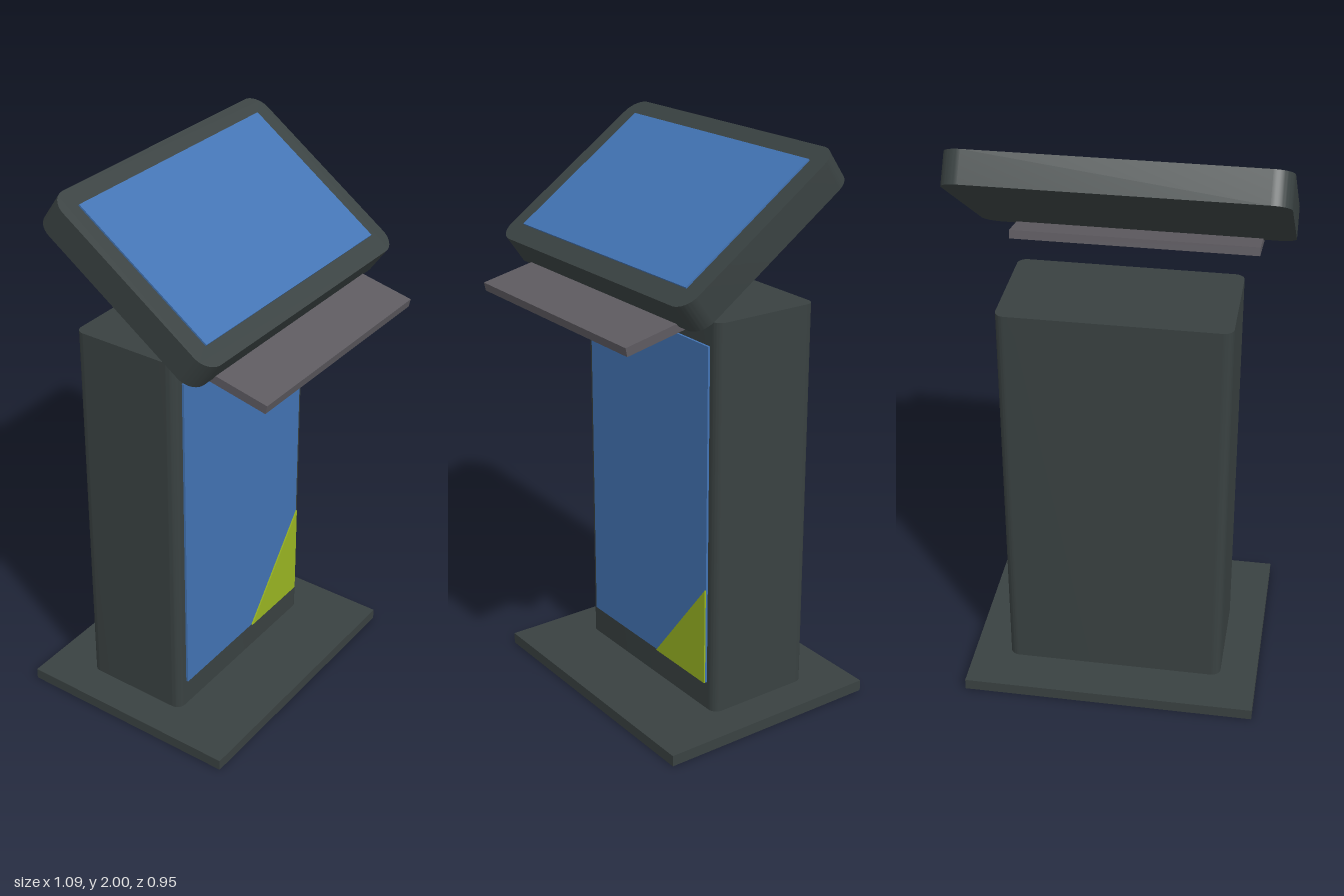
import * as THREE from 'three';
import { toCreasedNormals } from 'three/addons/utils/BufferGeometryUtils.js';

const material = (name, color) => {
  const m = new THREE.MeshStandardMaterial({ color });
  m.name = name;
  return m;
};

// Rounded rectangle in XY, extruded along z and centred on the origin
function roundedSlab(w, h, depth, r) {
  const x = w / 2, y = h / 2, s = new THREE.Shape();
  s.absarc(x - r, y - r, r, 0, Math.PI / 2);
  s.absarc(r - x, y - r, r, Math.PI / 2, Math.PI);
  s.absarc(r - x, r - y, r, Math.PI, Math.PI * 1.5);
  s.absarc(x - r, r - y, r, Math.PI * 1.5, Math.PI * 2);
  const g = new THREE.ExtrudeGeometry(s, { depth, bevelEnabled: false, curveSegments: 8 });
  g.translate(0, 0, -depth / 2);
  return toCreasedNormals(g, 0.6);
}

export function createModel() {
  const body = material('charcoal', 0x394141);
  const blue = material('blue', 0x4273b3);
  const green = material('lime green', 0x98b422);
  const grey = material('warm grey', 0x5d5a60);

  const kiosk = new THREE.Group();
  kiosk.name = 'kiosk';
  const add = (parent, name, geometry, mat, x, y, z) => {
    const mesh = new THREE.Mesh(geometry, mat);
    mesh.name = name;
    mesh.position.set(x, y, z);
    parent.add(mesh);
    return mesh;
  };

  // Floor plate and column with rounded upright edges
  add(kiosk, 'basePlate', new THREE.BoxGeometry(1.03, 0.04, 0.834), body, 0, 0.02, -0.058);
  const column = roundedSlab(0.77, 0.4, 1.42, 0.033);
  column.rotateX(-Math.PI / 2);
  add(kiosk, 'column', column, body, 0, 0.75, -0.112);

  // Front panel with a coloured corner
  add(kiosk, 'frontPanel', new THREE.BoxGeometry(0.684, 1.23, 0.008), blue, 0, 0.76, 0.092);
  const corner = new THREE.Shape([
    new THREE.Vector2(0.055, 0.145), new THREE.Vector2(0.342, 0.145), new THREE.Vector2(0.342, 0.505),
  ]);
  add(kiosk, 'cornerAccent', new THREE.ExtrudeGeometry(corner, { depth: 0.005, bevelEnabled: false }),
    green, 0, 0, 0.096);

  // Sloping shelf
  const shelf = add(kiosk, 'shelf', new THREE.BoxGeometry(0.856, 0.03, 0.342), grey, 0, 1.49, 0.302);
  shelf.rotation.x = 0.209;

  // Tilted display housing and screen
  const display = new THREE.Group();
  display.name = 'display';
  display.position.set(0, 1.75, 0.015);
  display.rotation.x = THREE.MathUtils.degToRad(-55);
  kiosk.add(display);
  add(display, 'housing', roundedSlab(1.086, 0.714, 0.11, 0.065), body, 0, 0, 0);
  add(display, 'screen', new THREE.BoxGeometry(0.946, 0.576, 0.009), blue, 0, 0.004, 0.0565);

  return kiosk;
}
